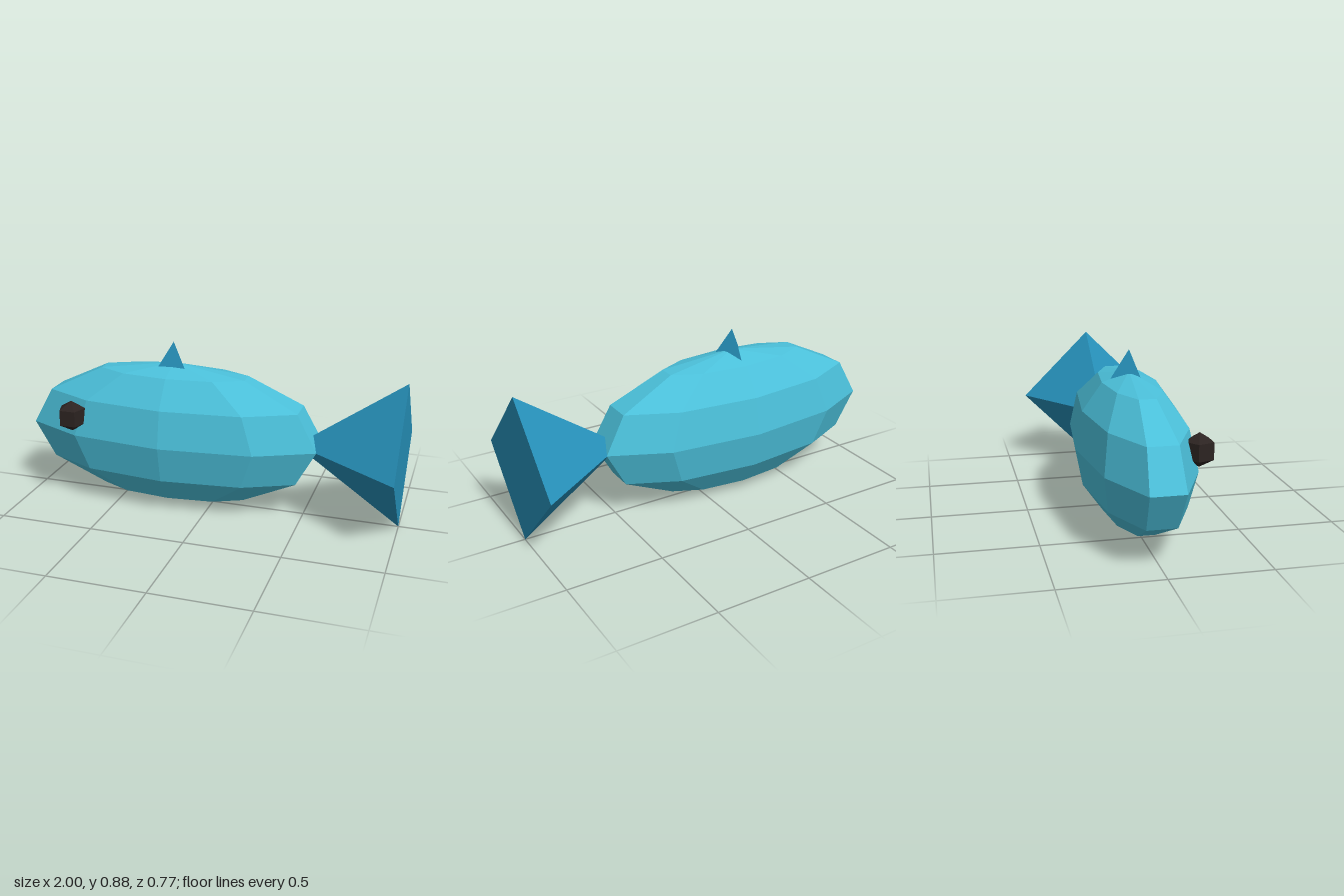
import * as THREE from 'three';

const U = 0.2757; // base unit

function material(name, color) {
  const m = new THREE.MeshStandardMaterial({ color, flatShading: true });
  m.name = name;
  return m;
}

export function createModel() {
  const group = new THREE.Group();
  group.name = 'fish';
  const bodyBlue = material('bodyBlue', 0x4bc0da);
  const finBlue = material('finBlue', 0x2690b9);
  const eyeBlack = material('eyeBlack', 0x2c2321);

  // Positions are in base units, measured from the middle of the body
  const add = (name, geometry, mat, x, y, z) => {
    const mesh = new THREE.Mesh(geometry, mat);
    mesh.name = name;
    mesh.position.set(-0.2133 + x * U, (1.4 + y) * U, z * U);
    group.add(mesh);
  };

  // Body: faceted ellipsoid, flattened sideways
  const body = new THREE.SphereGeometry(U, 10, 6).rotateY(-Math.PI / 2).scale(3, 1.4, 1);
  add('body', body, bodyBlue, 0, 0, 0);

  // Tail: four-sided pyramid with its tip inside the body
  const tail = new THREE.ConeGeometry(1.4 * U, 2 * U, 4).rotateZ(Math.PI / 2);
  add('tail', tail, finBlue, 3.4, 0, 0);

  // Back fin: three-sided spike
  const fin = new THREE.ConeGeometry(0.52 * U, 0.8 * U, 3).rotateY(Math.PI);
  add('backFin', fin, finBlue, 0, 1.4, 0);

  // Single eye on the front side
  const eye = new THREE.SphereGeometry(0.3 * U, 5, 3).rotateY(-Math.PI / 2);
  add('eye', eye, eyeBlack, -1.8, 0.4, 0.8);

  return group;
}
